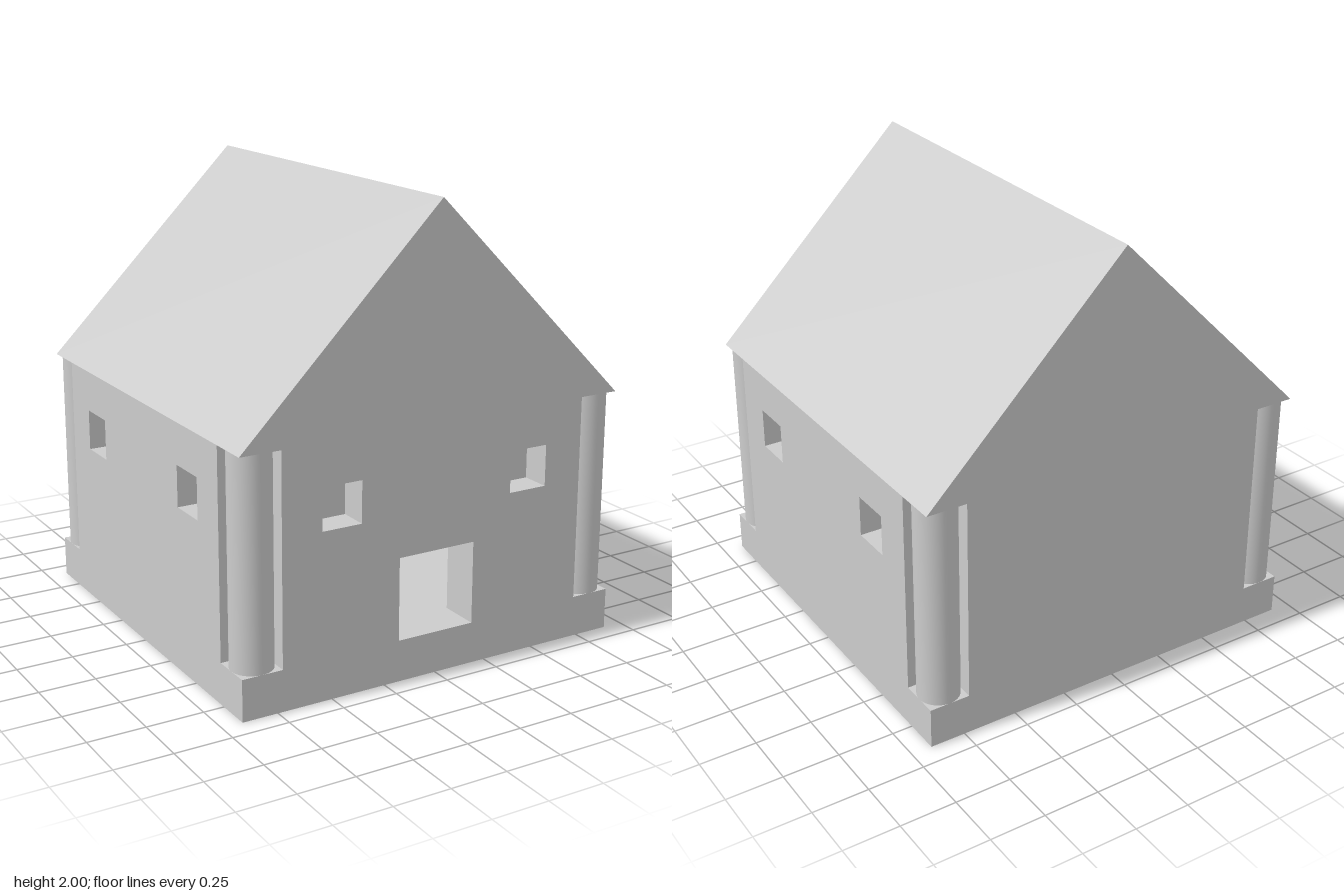
import * as THREE from 'three';

const HALF = 0.909;    // half the footprint
const INNER = 0.727;   // half the room
const FLOOR = 0.182;
const EAVES = 1.091;
const THICK = HALF - INNER;

export function createModel() {
  const house = new THREE.Group();
  house.name = 'house';
  const material = new THREE.MeshStandardMaterial({ color: 0xcccccc });

  const add = (parent, name, geometry, x = 0, y = 0, z = 0) => {
    const mesh = new THREE.Mesh(geometry, material);
    mesh.name = name;
    mesh.position.set(x, y, z);
    parent.add(mesh);
    return mesh;
  };
  const box = (parent, name, x0, x1, y0, y1, z0, z1) =>
    add(parent, name, new THREE.BoxGeometry(x1 - x0, y1 - y0, z1 - z0),
      (x0 + x1) / 2, (y0 + y1) / 2, (z0 + z1) / 2);

  // Plinth, which is also the room floor
  box(house, 'plinth', -HALF, HALF, 0, FLOOR, -HALF, HALF);

  // Wall slab between two corner posts, with optional windows and door
  const wall = (name, turn, hasWindows, hasDoor) => {
    const outline = [[-INNER, FLOOR]];
    if (hasDoor) outline.push([-0.182, FLOOR], [-0.182, 0.545], [0.182, 0.545], [0.182, FLOOR]);
    outline.push([INNER, FLOOR], [INNER, EAVES], [-INNER, EAVES]);
    const shape = new THREE.Shape(outline.map(([x, y]) => new THREE.Vector2(x, y)));
    if (hasWindows) {
      for (const x of [-0.4545, 0.4545]) {
        const hole = [[-1, -1], [-1, 1], [1, 1], [1, -1]]
          .map(([a, b]) => new THREE.Vector2(x + a * 0.091, 0.818 + b * 0.091));
        shape.holes.push(new THREE.Path(hole));
      }
    }
    const geometry = new THREE.ExtrudeGeometry(shape, { depth: THICK, bevelEnabled: false });
    geometry.translate(0, 0, INNER);
    add(house, name, geometry).rotation.y = turn * Math.PI / 2;
  };
  wall('frontWall', 0, true, true);
  wall('leftWall', 1, true, false);
  wall('backWall', 2, false, false);
  wall('rightWall', 3, true, false);

  // Blind backs of the front windows
  for (const x of [-0.4545, 0.4545]) {
    box(house, 'frontWindowBack', x - 0.091, x + 0.091, 0.727, 0.909, INNER, HALF - 0.13);
  }

  // Round posts in the open corners
  const post = new THREE.CylinderGeometry(THICK / 2, THICK / 2, EAVES - FLOOR, 48);
  const c = (HALF + INNER) / 2;
  for (const x of [-c, c]) {
    for (const z of [-c, c]) add(house, 'cornerPost', post, x, (FLOOR + EAVES) / 2, z);
  }

  // Gabled roof
  const gable = new THREE.Shape([
    new THREE.Vector2(-HALF, EAVES), new THREE.Vector2(HALF, EAVES), new THREE.Vector2(0, 2),
  ]);
  const roof = new THREE.ExtrudeGeometry(gable, { depth: 2 * HALF, bevelEnabled: false });
  add(house, 'roof', roof, 0, 0, -HALF);

  // Chair inside the room, partly seen through the doorway
  const chair = new THREE.Group();
  chair.name = 'chair';
  house.add(chair);
  box(chair, 'chairSeat', -0.27, -0.09, 0.257, 0.273, -0.09, 0.09);
  box(chair, 'chairBack', -0.109, -0.091, 0.273, 0.455, -0.09, 0.09);
  for (const x of [-0.25, -0.11]) {
    for (const z of [-0.075, 0.075]) {
      box(chair, 'chairLeg', x - 0.015, x + 0.015, FLOOR, 0.257, z - 0.015, z + 0.015);
    }
  }

  return house;
}
